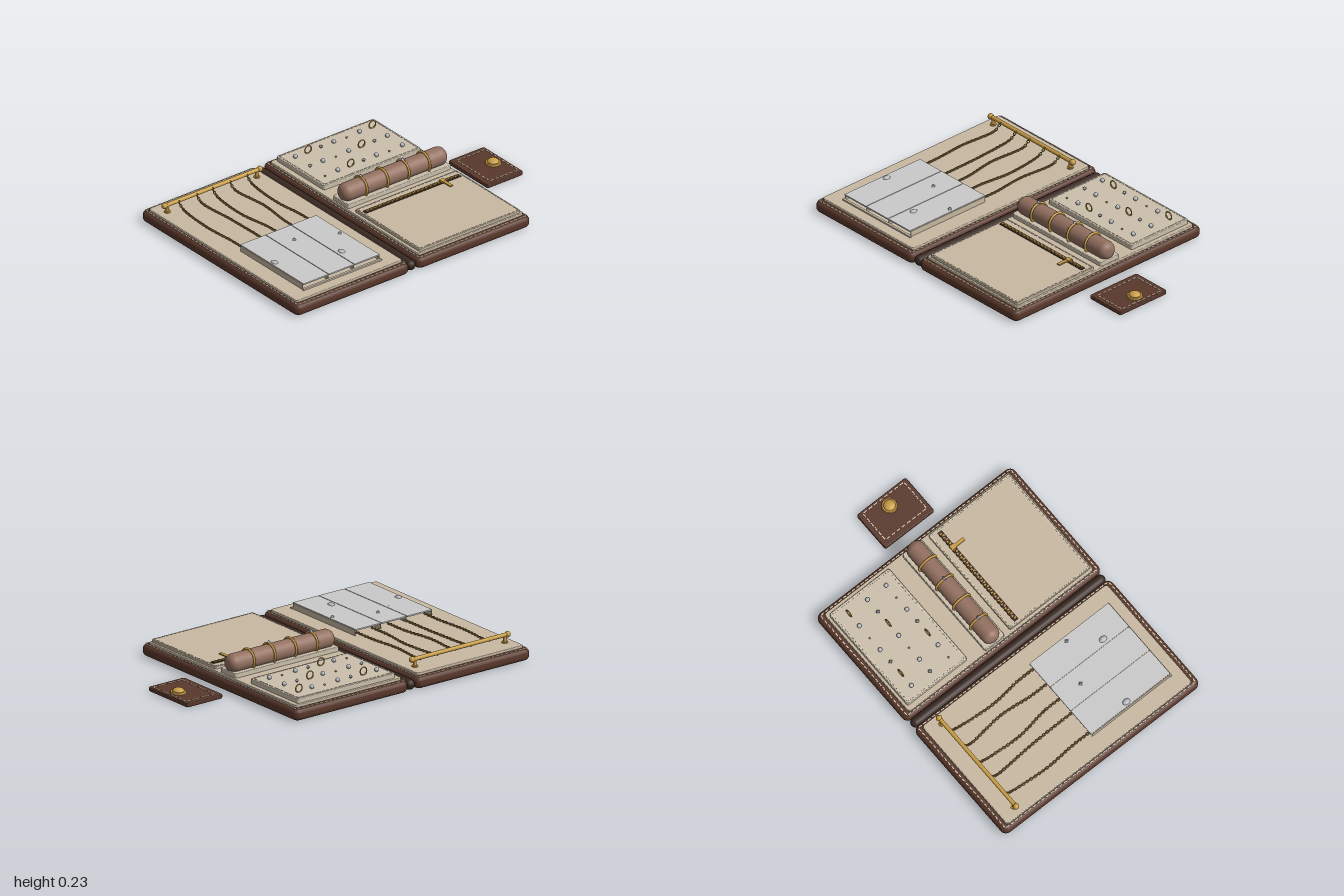
import * as THREE from 'three';
import { mergeGeometries } from 'three/addons/utils/BufferGeometryUtils.js';

const paint = (name, color) => {
  const m = new THREE.MeshStandardMaterial({ color });
  m.name = name;
  return m;
};

export function createModel() {
  const root = new THREE.Group();
  root.name = 'jewelryCase';
  const leather = paint('brown leather', 0x5a382b);
  const spineLeather = paint('dark leather', 0x3a2922);
  const lining = paint('beige lining', 0xc8b9a2);
  const padding = paint('pale padding', 0xcdc1ad);
  const thread = paint('cream thread', 0xe0d3ba);
  const velvet = paint('brown velvet', 0x937060);
  const gold = paint('gold', 0xc99d45);
  const chainGold = paint('aged gold', 0xa5803f);
  const panel = paint('pale grey panel', 0xcacaca);
  const silver = paint('silver', 0xb9bcbf);

  const add = (name, geometry, material, x = 0, y = 0, z = 0, parent = root) => {
    const mesh = new THREE.Mesh(geometry, material);
    mesh.name = name;
    mesh.position.set(x, y, z);
    parent.add(mesh);
    return mesh;
  };
  const box = (name, mat, x0, x1, y0, y1, z0, z1) =>
    add(name, new THREE.BoxGeometry(x1 - x0, y1 - y0, z1 - z0), mat, (x0 + x1) / 2, (y0 + y1) / 2, (z0 + z1) / 2);

  // Flat slab with rounded corners and softened edges
  const slab = (name, mat, x0, x1, y0, y1, z0, z1, r, bevel) => {
    const w = (x1 - x0) / 2 - bevel, d = (z1 - z0) / 2 - bevel;
    const s = new THREE.Shape();
    s.moveTo(-w + r, -d);
    s.lineTo(w - r, -d);
    s.absarc(w - r, -d + r, r, -Math.PI / 2, 0);
    s.absarc(w - r, d - r, r, 0, Math.PI / 2);
    s.absarc(-w + r, d - r, r, Math.PI / 2, Math.PI);
    s.absarc(-w + r, -d + r, r, Math.PI, Math.PI * 1.5);
    const g = new THREE.ExtrudeGeometry(s, {
      depth: y1 - y0 - 2 * bevel, bevelEnabled: true, bevelThickness: bevel,
      bevelSize: bevel, bevelSegments: 5, curveSegments: 5,
    });
    g.rotateX(-Math.PI / 2);
    return add(name, g, mat, (x0 + x1) / 2, y0 + bevel, (z0 + z1) / 2);
  };

  // Dashed seam around a rectangle
  const seam = (name, x0, x1, z0, z1, y, pitch = 0.032, width = 0.006) => {
    const parts = [];
    const run = (a, b, place) => {
      const n = Math.round((b - a) / pitch);
      for (let i = 0; i < n; i++) place(a + ((i + 0.5) * (b - a)) / n);
    };
    const len = pitch * 0.65;
    for (const z of [z0, z1])
      run(x0, x1, x => parts.push(new THREE.BoxGeometry(len, 0.005, width).translate(x, y, z)));
    for (const x of [x0, x1])
      run(z0, z1, z => parts.push(new THREE.BoxGeometry(width, 0.005, len).translate(x, y, z)));
    add(name, mergeGeometries(parts), thread);
  };

  // Two case halves with lining and seams
  for (const [side, x0, x1] of [['right', -1, -0.19], ['left', -0.135, 0.672]]) {
    slab(side + 'CaseShell', leather, x0, x1, 0, 0.07, -0.707, 0.707, 0.012, 0.028);
    slab(side + 'CaseLining', lining, x0 + 0.028, x1 - 0.028, 0.06, 0.085, -0.668, 0.668, 0.012, 0.006);
    seam(side + 'CaseSeam', x0 + 0.02, x1 - 0.02, -0.686, 0.686, 0.069);
  }

  // Spine hinge
  const spine = new THREE.CapsuleGeometry(0.031, 1.33, 6, 16).rotateX(Math.PI / 2);
  add('spine', spine, spineLeather, -0.163, 0.031, 0);

  // Necklace rail
  const railZ = -0.572, railY = 0.13;
  add('necklaceRail', new THREE.CylinderGeometry(0.012, 0.012, 0.68, 16).rotateZ(Math.PI / 2), gold, -0.593, railY, railZ);
  for (const x of [-0.932, -0.255]) add('railFinial', new THREE.SphereGeometry(0.018, 16, 12), gold, x, railY, railZ);
  for (const x of [-0.912, -0.275]) {
    add('railPost', new THREE.CylinderGeometry(0.01, 0.01, 0.05, 12), gold, x, 0.106, railZ);
    add('railFoot', new THREE.CylinderGeometry(0.018, 0.018, 0.008, 16), gold, x, 0.088, railZ);
  }

  // Necklaces: linked chains sagging from the rail to the pocket
  const chains = [
    [-0.84, -0.855, -0.842], [-0.712, -0.695, -0.69], [-0.6, -0.612, -0.583],
    [-0.475, -0.45, -0.468], [-0.355, -0.372, -0.353],
  ];
  for (const [top, middle, bottom] of chains) {
    const curve = new THREE.CatmullRomCurve3([
      new THREE.Vector3(top, railY, railZ + 0.01), new THREE.Vector3(top, 0.1, -0.52),
      new THREE.Vector3(middle, 0.093, -0.28), new THREE.Vector3(bottom, 0.093, -0.08),
      new THREE.Vector3(bottom, 0.093, 0.06),
    ]);
    const links = [];
    const count = 46, up = new THREE.Vector3(1, 0, 0);
    for (let i = 0; i <= count; i++) {
      const t = i / count;
      const turn = new THREE.Quaternion().setFromUnitVectors(up, curve.getTangentAt(t));
      links.push(new THREE.TorusGeometry(0.007, 0.0026, 5, 8).scale(1.25, 1, 1)
        .rotateX(i % 2 ? Math.PI / 2 : 0).applyQuaternion(turn).translate(...curve.getPointAt(t).toArray()));
    }
    add('necklaceChain', mergeGeometries(links), chainGold);
  }

  // Pendants resting in the necklace pocket
  for (const [x, z, r] of [[-0.84, 0.3, 0.025], [-0.47, 0.435, 0.025]])
    add('ovalPendant', new THREE.SphereGeometry(r, 16, 12).scale(0.85, 0.95, 1.15), silver, x, 0.11, z);
  for (const [x, z] of [[-0.71, 0.22], [-0.595, 0.17], [-0.35, 0.27]])
    add('gemPendant', new THREE.OctahedronGeometry(0.024), silver, x, x === -0.71 ? 0.1 : 0.112, z);

  // Necklace pocket: three raised flaps and a front hem
  const edges = [-0.867, -0.687, -0.505, -0.323];
  for (let i = 0; i < 3; i++)
    box('pocketFlap', panel, edges[i] + 0.002, edges[i + 1] - 0.002, 0.115, 0.123, 0.025, 0.595);
  for (const x of edges) box('pocketDivider', lining, x - 0.002, x + 0.002, 0.084, 0.119, 0.03, 0.59);
  box('pocketHem', padding, -0.872, -0.315, 0.084, 0.094, 0.59, 0.604);

  // Earring pad
  slab('earringPad', padding, -0.075, 0.618, 0.08, 0.114, -0.652, -0.22, 0.008, 0.006);
  seam('earringPadSeam', -0.062, 0.605, -0.639, -0.233, 0.114, 0.028, 0.004);

  // Earrings: pearls, gems, hoops and tiny pins in a grid
  const rows = ['phgptph', 'gptphgp', 'tphgptp'];
  rows.forEach((row, j) => [...row].forEach((kind, i) => {
    const x = -0.005 + i * 0.0915, z = -0.568 + j * 0.134;
    if (kind === 'p') add('pearlStud', new THREE.SphereGeometry(0.013, 14, 10), silver, x, 0.126, z);
    if (kind === 'g') add('gemStud', new THREE.OctahedronGeometry(0.013), silver, x, 0.125, z);
    if (kind === 't') add('pinStud', new THREE.SphereGeometry(0.006, 8, 6), gold, x, 0.118, z);
    if (kind === 'h') add('hoopEarring', new THREE.TorusGeometry(0.023, 0.0035, 8, 24), gold, x, 0.137, z);
  }));

  // Ring roll with its cushion
  slab('ringRollBase', padding, -0.1, 0.635, 0.08, 0.112, -0.112, 0.03, 0.008, 0.006);
  const profile = [new THREE.Vector2(0, -0.37)];
  for (let i = 0; i <= 8; i++) {
    const a = (i / 8) * Math.PI / 2;
    profile.push(new THREE.Vector2(0.011 + 0.044 * Math.sin(a), -0.326 - 0.044 * Math.cos(a)));
  }
  for (let i = 8; i >= 0; i--) profile.push(new THREE.Vector2(profile[i + 1].x, -profile[i + 1].y));
  profile.push(new THREE.Vector2(0, 0.37));
  const rollZ = -0.042, rollY = 0.149;
  add('ringRoll', new THREE.LatheGeometry(profile, 32).rotateZ(-Math.PI / 2), velvet, 0.27, rollY, rollZ);
  [0.045, 0.195, 0.345, 0.492].forEach((x, i) => {
    add('ring', new THREE.TorusGeometry(0.06, 0.007, 8, 40).rotateY(Math.PI / 2), gold, x, rollY, rollZ);
    if (i % 2 === 0) add('ringGem', new THREE.OctahedronGeometry(0.014), silver, x, 0.215, rollZ);
  });

  // Zipped pocket
  slab('zipPocket', lining, -0.09, 0.632, 0.08, 0.1, 0.075, 0.658, 0.008, 0.005);
  seam('zipPocketSeam', -0.08, 0.622, 0.085, 0.648, 0.1, 0.028, 0.004);
  box('zipTape', spineLeather, -0.07, 0.608, 0.098, 0.104, 0.122, 0.152);
  const teeth = [];
  for (let i = 0; i < 44; i++)
    teeth.push(new THREE.BoxGeometry(0.01, 0.006, 0.012).translate(-0.055 + i * 0.015, 0.105, i % 2 ? 0.133 : 0.141));
  add('zipTeeth', mergeGeometries(teeth), gold);
  box('zipSlider', gold, 0.472, 0.502, 0.102, 0.114, 0.122, 0.152);
  box('zipPull', gold, 0.477, 0.497, 0.106, 0.113, 0.15, 0.216);

  // Closing tab with snap button
  slab('closingTab', leather, 0.745, 1, 0, 0.025, -0.14, 0.215, 0.008, 0.006);
  seam('closingTabSeam', 0.782, 0.983, -0.108, 0.188, 0.025, 0.036, 0.006);
  add('snapRim', new THREE.CylinderGeometry(0.043, 0.046, 0.01, 32), gold, 0.925, 0.03, 0.037);
  add('snapDome', new THREE.SphereGeometry(0.034, 24, 8, 0, Math.PI * 2, 0, Math.PI / 2).scale(1, 0.55, 1), gold, 0.925, 0.035, 0.037);

  return root;
}
